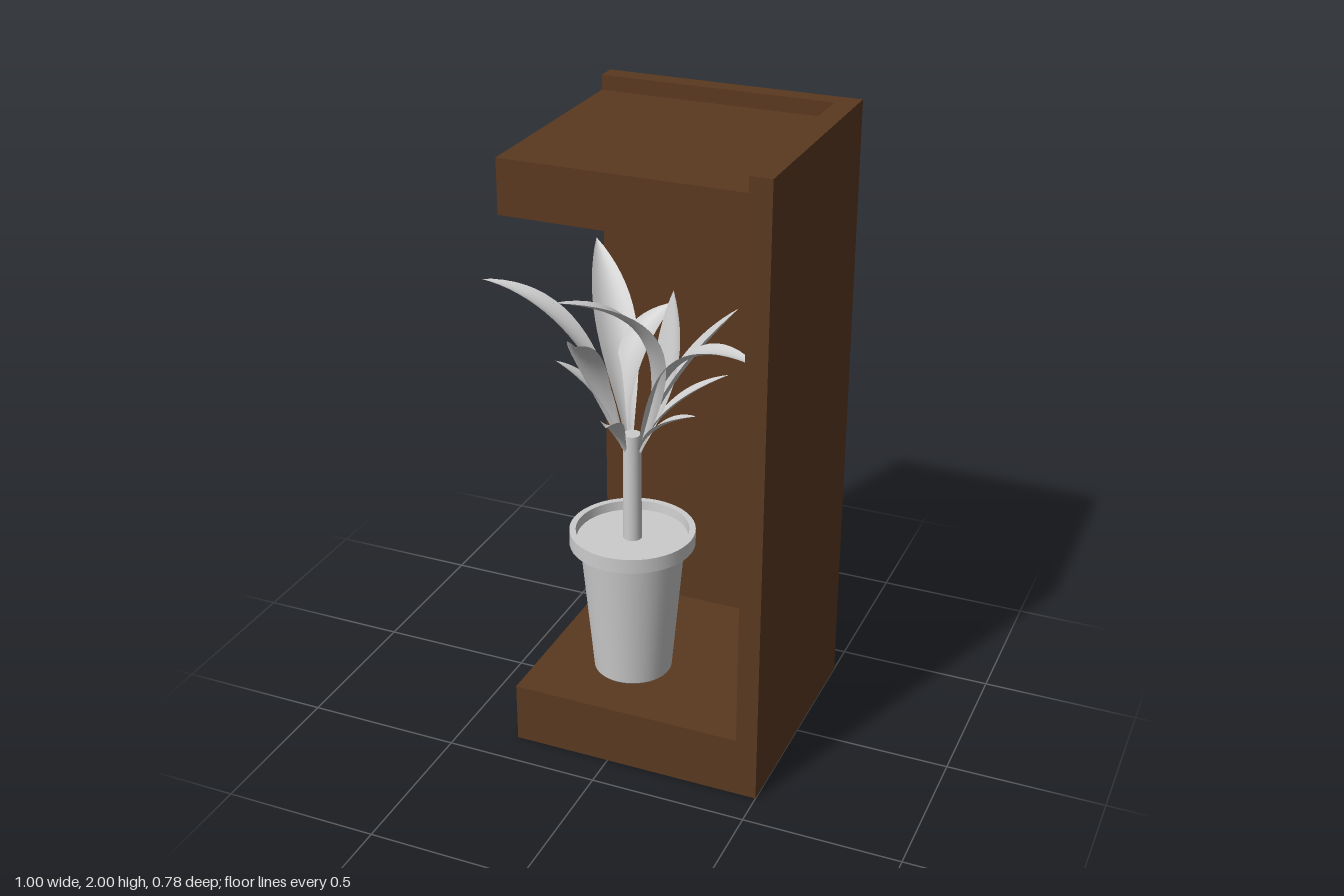
import * as THREE from 'three';

const grey = new THREE.MeshStandardMaterial({ color: 0xcccccc });
const leafGrey = new THREE.MeshStandardMaterial({ color: 0xcccccc, side: THREE.DoubleSide });
const wood = new THREE.MeshStandardMaterial({ color: 0x5a3920 });

function add(parent, name, geometry, material, x = 0, y = 0, z = 0) {
  const mesh = new THREE.Mesh(geometry, material);
  mesh.name = name;
  mesh.position.set(x, y, z);
  parent.add(mesh);
  return mesh;
}

// Box given by its lower and upper corners
function board(parent, name, [x0, y0, z0], [x1, y1, z1]) {
  add(parent, name, new THREE.BoxGeometry(x1 - x0, y1 - y0, z1 - z0), wood,
    (x0 + x1) / 2, (y0 + y1) / 2, (z0 + z1) / 2);
}

// Pointed blade bent along a curve, slightly folded along its midrib
function leafGeometry(root, bend, tip, width) {
  const curve = new THREE.QuadraticBezierCurve3(root, bend, tip);
  const side = new THREE.Vector3(tip.z - root.z, 0, root.x - tip.x).normalize();
  const geometry = new THREE.PlaneGeometry(1, 1, 6, 20);
  const pos = geometry.attributes.position;
  for (let i = 0; i < pos.count; i++) {
    const across = pos.getX(i) * 2;
    const t = pos.getY(i) + 0.5;
    const half = width / 2 * (0.16 * (1 - t) + Math.pow(Math.sin(Math.PI * Math.pow(t, 1.35)), 0.9));
    const normal = curve.getTangent(t).cross(side).normalize();
    const p = curve.getPoint(t)
      .addScaledVector(side, across * half)
      .addScaledVector(normal, 0.35 * half * across * across);
    pos.setXYZ(i, p.x, p.y, p.z);
  }
  geometry.computeVertexNormals();
  return geometry;
}

export function createModel() {
  const model = new THREE.Group();

  // Cabinet open to the front and one side, with a recessed top
  const cabinet = new THREE.Group();
  cabinet.name = 'cabinet';
  model.add(cabinet);
  const L = -0.316, R = 0.5, inR = 0.432, B = -0.388, inB = -0.325, F = 0.388;
  board(cabinet, 'backWall', [L, 0, B], [R, 2, inB]);
  board(cabinet, 'sideWall', [inR, 0, inB], [R, 2, F]);
  board(cabinet, 'base', [L, 0, inB], [inR, 0.197, F]);
  board(cabinet, 'topShelf', [L, 1.785, inB], [inR, 1.953, F]);

  // Small downlight under the top shelf
  add(model, 'downlight', new THREE.CylinderGeometry(0.028, 0.042, 0.022, 32), grey, 0.092, 1.774, 0);

  const plant = new THREE.Group();
  plant.name = 'plant';
  plant.position.set(-0.026, 0, 0.12);
  model.add(plant);

  // Tapered pot with a thick rim
  const profile = [[0, 0.2], [0.123, 0.2], [0.125, 0.203], [0.165, 0.652], [0.198, 0.652],
    [0.198, 0.7], [0.178, 0.7], [0.174, 0.66]];
  const points = profile.map(([r, y]) => new THREE.Vector2(r, y));
  // Each profile segment is its own band so the rim edges stay sharp
  const pot = new THREE.Group();
  pot.name = 'pot';
  plant.add(pot);
  for (let i = 0; i < points.length - 1; i++) {
    add(pot, 'potBand', new THREE.LatheGeometry([points[i], points[i + 1]], 48), grey);
  }
  add(plant, 'soil', new THREE.CylinderGeometry(0.176, 0.16, 0.01, 48), grey, 0, 0.665, 0);
  add(plant, 'trunk', new THREE.CylinderGeometry(0.028, 0.03, 0.37, 24), grey, 0, 0.845, 0);

  // Leaves: tip, bend point, width
  const leaves = [
    [[-0.5, 1.48, 0.165], [-0.16, 1.45, 0.13], 0.09],
    [[-0.27, 1.53, -0.17], [-0.1, 1.3, 0.03], 0.12],
    [[-0.09, 1.41, 0.37], [-0.19, 1.33, 0.17], 0.11],
    [[-0.155, 1.54, 0.38], [0.2, 1.5, 0.17], 0.1],
    [[0.28, 1.46, 0.03], [0.07, 1.22, 0.1], 0.1],
    [[0.41, 1.36, 0.2], [0.1, 1.46, 0.15], 0.09],
    [[0.06, 1.47, 0], [0.12, 1.25, 0.08], 0.1],
    [[0.03, 1.39, -0.1], [-0.12, 1.3, 0.03], 0.1],
    [[0.26, 1.25, 0.05], [0.06, 1.15, 0.1], 0.06],
    [[0.2, 1.15, 0.16], [0.04, 1.09, 0.13], 0.055],
    [[-0.25, 1.26, 0.18], [-0.11, 1.18, 0.14], 0.06],
    [[0.01, 1.18, 0.39], [-0.06, 1.12, 0.2], 0.06],
  ];
  const foliage = new THREE.Group();
  foliage.name = 'foliage';
  model.add(foliage);
  for (const [tip, bend, width] of leaves) {
    const end = new THREE.Vector3(...tip);
    const middle = new THREE.Vector3(...bend);
    // Each leaf starts on the trunk, on the side it bends towards
    const root = new THREE.Vector3(middle.x + 0.026, 0, middle.z - 0.12).setLength(0.026)
      .add(new THREE.Vector3(-0.026, 0.975, 0.12));
    add(foliage, 'leaf', leafGeometry(root, middle, end, width), leafGrey);
  }
  return model;
}
